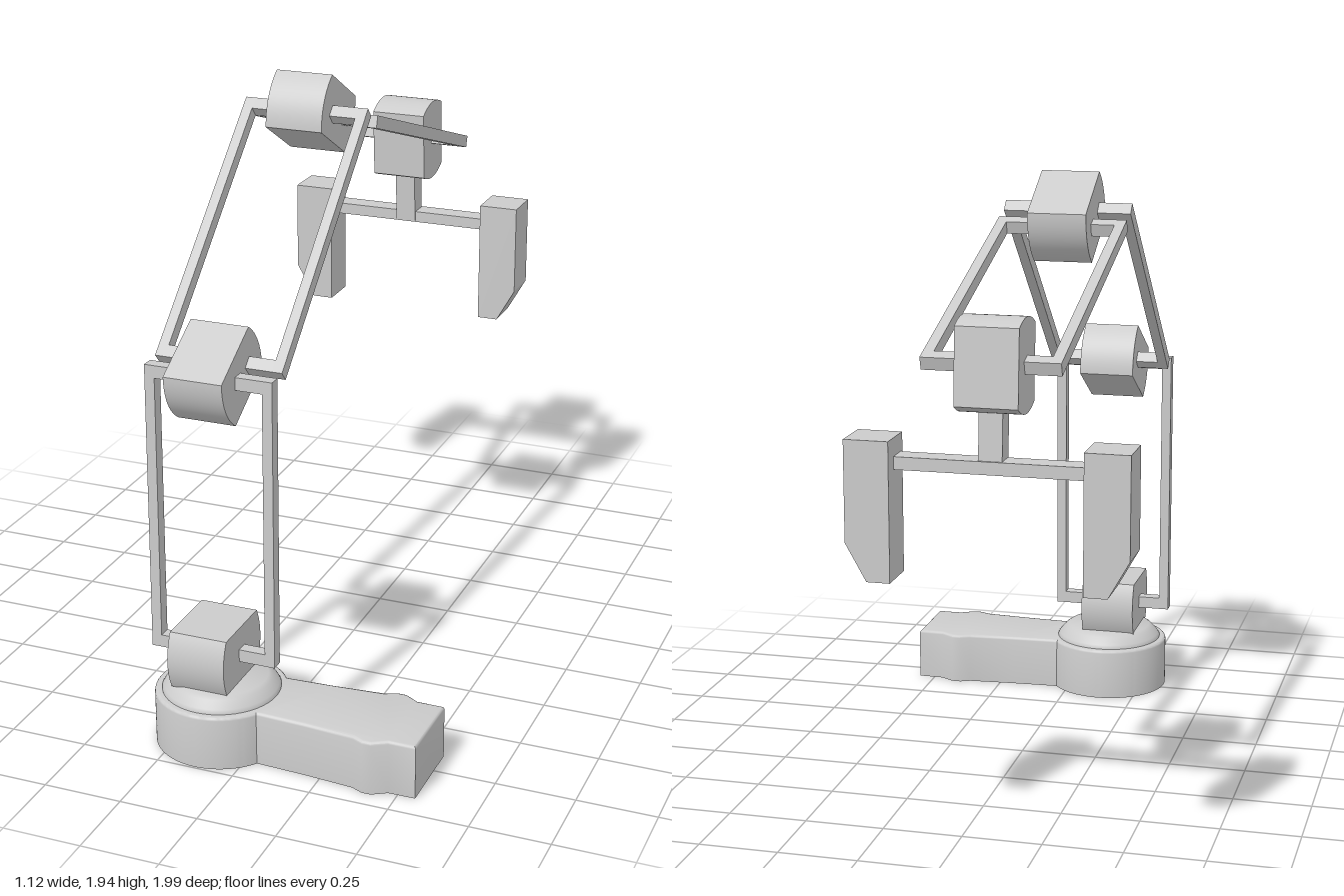
import * as THREE from 'three';
import { toCreasedNormals } from 'three/addons/utils/BufferGeometryUtils.js';

const AXIS_X = -0.145; // centre line of the arm
const BASE_X = -0.127, BASE_Z = 0.788; // turntable centre

export function createModel() {
  const model = new THREE.Group();
  const material = new THREE.MeshStandardMaterial({ color: 0xcccccc });

  function add(parent, name, geometry, x = 0, y = 0, z = 0) {
    const mesh = new THREE.Mesh(geometry, material);
    mesh.name = name;
    mesh.position.set(x, y, z);
    parent.add(mesh);
    return mesh;
  }
  const box = (parent, name, w, h, d, x, y, z) =>
    add(parent, name, new THREE.BoxGeometry(w, h, d), x, y, z);

  // Keyhole-shaped base: round pad with a foot that flares near its end
  const side = [[0.055, 0.12], [0.2, 0.127], [0.36, 0.14], [0.395, 0.156],
    [0.425, 0.156], [0.47, 0.129], [0.555, 0.128]];
  const bevel = 0.01, padR = 0.206;
  const plan = new THREE.Shape();
  const start = Math.atan2(0.12, Math.sqrt(padR ** 2 - 0.12 ** 2));
  plan.absarc(0, 0, padR, start, Math.PI * 2 - start, false);
  side.forEach(([x, w]) => plan.lineTo(x - BASE_X, -w));
  [...side].reverse().forEach(([x, w]) => plan.lineTo(x - BASE_X, w));
  const baseGeo = new THREE.ExtrudeGeometry(plan, {
    depth: 0.175 - bevel, curveSegments: 48, bevelEnabled: true,
    bevelSize: bevel, bevelOffset: -bevel, bevelThickness: bevel, bevelSegments: 3,
  });
  baseGeo.rotateX(-Math.PI / 2);
  // flatten the lower bevel so the base stands square on the floor
  const pos = baseGeo.attributes.position;
  for (let i = 0; i < pos.count; i++) pos.setY(i, Math.max(0, pos.getY(i)));
  add(model, 'base', toCreasedNormals(baseGeo, 0.6), BASE_X, 0, BASE_Z);

  // Turntable on the base pad
  const cap = [[0.184, 0.165], [0.184, 0.178], [0.178, 0.188], [0.158, 0.21], [0.145, 0.219], [0, 0.221]];
  const capGeo = new THREE.LatheGeometry(cap.map(p => new THREE.Vector2(...p)), 48);
  add(model, 'turntable', toCreasedNormals(capGeo, 0.6), BASE_X, 0, BASE_Z);

  // Joint blocks: flat long sides, bowed ends, extruded across the arm
  const e = 0.113, h = 0.093, bow = 0.162;
  const profile = new THREE.Shape();
  profile.moveTo(-e, -h);
  profile.lineTo(e, -h);
  profile.quadraticCurveTo(bow, 0, e, h);
  profile.lineTo(-e, h);
  profile.quadraticCurveTo(-bow, 0, -e, -h);
  const blockGeo = toCreasedNormals(new THREE.ExtrudeGeometry(profile, {
    depth: 0.186, curveSegments: 16, bevelEnabled: false,
  }).translate(0, 0, -0.093).rotateY(Math.PI / 2), 0.5);
  const joints = [
    ['baseJoint', 0.305, 0.798, 0],
    ['elbowJoint', 1.197, 0.759, 30],
    ['upperJoint', 1.798, -0.003, -30],
    ['wristJoint', 1.49, -0.889, 93.5],
  ];
  for (const [name, y, z, degrees] of joints) {
    add(model, name, blockGeo, AXIS_X, y, z).rotation.x = THREE.MathUtils.degToRad(degrees);
  }

  // Rectangular link frames between joints; ends are given as [z, y]
  const bar = 0.04, rail = 0.032, frameW = 0.41;
  function linkFrame(name, [z0, y0], [z1, y1]) {
    const frame = new THREE.Group();
    const length = Math.hypot(z1 - z0, y1 - y0);
    frame.name = name;
    frame.position.set(-0.14, (y0 + y1) / 2, (z0 + z1) / 2);
    frame.rotation.x = Math.atan2(y1 - y0, z0 - z1);
    for (const s of [-1, 1]) {
      box(frame, 'rail', rail, bar, length, s * (frameW - rail) / 2, 0, 0);
      box(frame, 'axle', frameW - 2 * rail, bar, bar, 0, 0, s * (length - bar) / 2);
    }
    model.add(frame);
  }
  linkFrame('lowerLink', [0.8, 0.287], [0.79, 1.212]);
  linkFrame('middleLink', [0.723, 1.2], [0.032, 1.823]);
  linkFrame('upperLink', [-0.032, 1.777], [-0.917, 1.487]);

  // Gripper: neck, crossbar and two fingers with chamfered outer tips
  const gripper = new THREE.Group();
  gripper.name = 'gripper';
  gripper.position.set(AXIS_X, 0, 0);
  model.add(gripper);
  box(gripper, 'neck', 0.07, 0.19, 0.07, 0, 1.285, -0.904).rotation.x = 0.06;
  box(gripper, 'crossbar', 0.58, 0.038, 0.07, 0, 1.202, -0.915);
  for (const s of [-1, 1]) {
    const outline = [[0.282, 0.86], [0.352, 0.86], [0.415, 0.972], [0.415, 1.275], [0.282, 1.275]];
    const finger = new THREE.Shape(outline.map(([x, y]) => new THREE.Vector2(s * x, y)));
    const geo = new THREE.ExtrudeGeometry(finger, { depth: 0.137, bevelEnabled: false });
    add(gripper, s > 0 ? 'leftFinger' : 'rightFinger', geo, 0, 0, -1);
  }
  return model;
}
